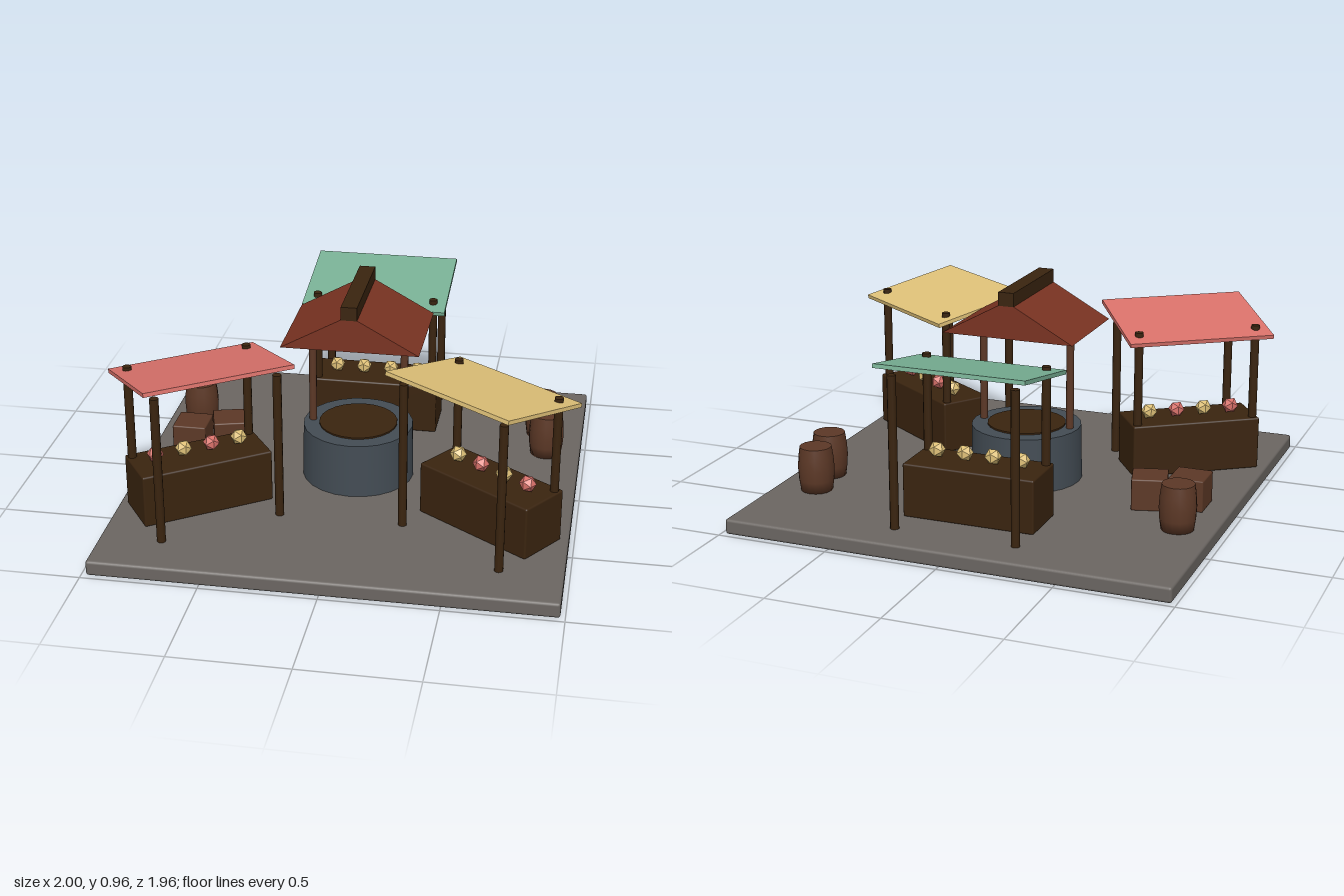
import * as THREE from 'three';
import { RoundedBoxGeometry } from 'three/addons/geometries/RoundedBoxGeometry.js';

const mat = (name, color, flatShading = false) => {
  const m = new THREE.MeshStandardMaterial({ color, flatShading });
  m.name = name;
  return m;
};

export function createModel() {
  const group = new THREE.Group();
  group.name = 'marketSquare';
  const paving = mat('paving', 0x6b6662);
  const stone = mat('wellStone', 0x434c54);
  const darkWood = mat('darkWood', 0x3a240f);
  const brownWood = mat('brownWood', 0x5c3826);
  const tile = mat('roofTile', 0x7a3322, true);
  const red = mat('red', 0xd9716a, true);
  const green = mat('green', 0x78b094, true);
  const yellow = mat('yellow', 0xdfc178, true);
  const floor = 0.067;

  const add = (parent, name, geometry, material, x = 0, y = 0, z = 0) => {
    const mesh = new THREE.Mesh(geometry, material);
    mesh.name = name;
    mesh.position.set(x, y, z);
    parent.add(mesh);
    return mesh;
  };

  // Paved base
  add(group, 'base', new RoundedBoxGeometry(1.96, floor, 1.96, 2, 0.012), paving, 0, floor / 2, 0);

  // Well with its dark opening, posts and gabled roof
  const well = new THREE.Group();
  well.name = 'well';
  group.add(well);
  add(well, 'wellWall', new THREE.CylinderGeometry(0.245, 0.25, 0.245, 24), stone, 0, floor + 0.1225, 0);
  add(well, 'wellOpening', new THREE.CylinderGeometry(0.175, 0.175, 0.008, 24), darkWood, 0, 0.315, 0);
  for (const s of [-1, 1]) {
    add(well, 'wellPost', new THREE.CylinderGeometry(0.017, 0.017, 0.5, 10), brownWood, s * 0.205, 0.55, 0);
  }
  const gable = new THREE.Shape([
    new THREE.Vector2(-0.3, 0.76), new THREE.Vector2(0.3, 0.76), new THREE.Vector2(0, 0.925),
  ]);
  add(well, 'wellRoof', new THREE.ExtrudeGeometry(gable, { depth: 0.48, bevelEnabled: false }), tile, 0, 0, -0.24);
  add(well, 'roofRidge', new THREE.BoxGeometry(0.07, 0.06, 0.484), darkWood, 0, 0.935, 0);

  // Market stall: counter, four posts, sloping canopy and a row of fruit
  const stall = (name, x, z, angle, canopyMaterial, fruits) => {
    const g = new THREE.Group();
    g.name = name;
    g.position.set(x, 0, z);
    g.rotation.y = angle;
    group.add(g);
    add(g, 'counter', new RoundedBoxGeometry(0.59, 0.237, 0.24, 2, 0.008), darkWood, 0, floor + 0.1185, 0.07);
    for (const px of [-0.27, 0.27]) {
      for (const pz of [-0.185, 0.16]) {
        add(g, 'stallPost', new THREE.CylinderGeometry(0.019, 0.019, 0.665, 10), darkWood, px, floor + 0.3325, pz);
      }
    }
    const canopy = add(g, 'canopy', new THREE.BoxGeometry(0.66, 0.018, 0.475), canopyMaterial, 0, 0.735, 0);
    canopy.rotation.x = 0.18;
    fruits.forEach((m, i) => {
      add(g, 'fruit', new THREE.IcosahedronGeometry(0.037, 0), m, (i - 1.5) * 0.128, 0.338, 0.08);
    });
  };
  const turn = THREE.MathUtils.degToRad(145.3);
  stall('greenStall', 0, -0.625, 0, green, [yellow, yellow, yellow, yellow]);
  stall('yellowStall', 0.595, 0.457, turn, yellow, [red, yellow, red, yellow]);
  stall('redStall', -0.595, 0.457, -turn, red, [yellow, red, yellow, red]);

  // Barrels with a slight bulge
  const barrelProfile = [[0, 0], [0.07, 0], [0.077, 0.05], [0.08, 0.1], [0.077, 0.15], [0.07, 0.2]]
    .map(([r, y]) => new THREE.Vector2(r, y));
  for (const [x, z] of [[-0.823, -0.385], [0.79, -0.512], [0.823, -0.32]]) {
    const barrel = new THREE.Group();
    barrel.name = 'barrel';
    barrel.position.set(x, floor, z);
    group.add(barrel);
    add(barrel, 'barrelBody', new THREE.LatheGeometry(barrelProfile, 16), brownWood);
    const lid = add(barrel, 'barrelLid', new THREE.CircleGeometry(0.07, 16), brownWood, 0, 0.2, 0);
    lid.rotation.x = -Math.PI / 2;
  }

  // Crates
  for (const [x, z, angle] of [[-0.793, -0.1, 0], [-0.632, -0.165, 0.27]]) {
    const crate = add(group, 'crate', new RoundedBoxGeometry(0.155, 0.14, 0.155, 1, 0.006), brownWood, x, floor + 0.07, z);
    crate.rotation.y = angle;
  }

  return group;
}
